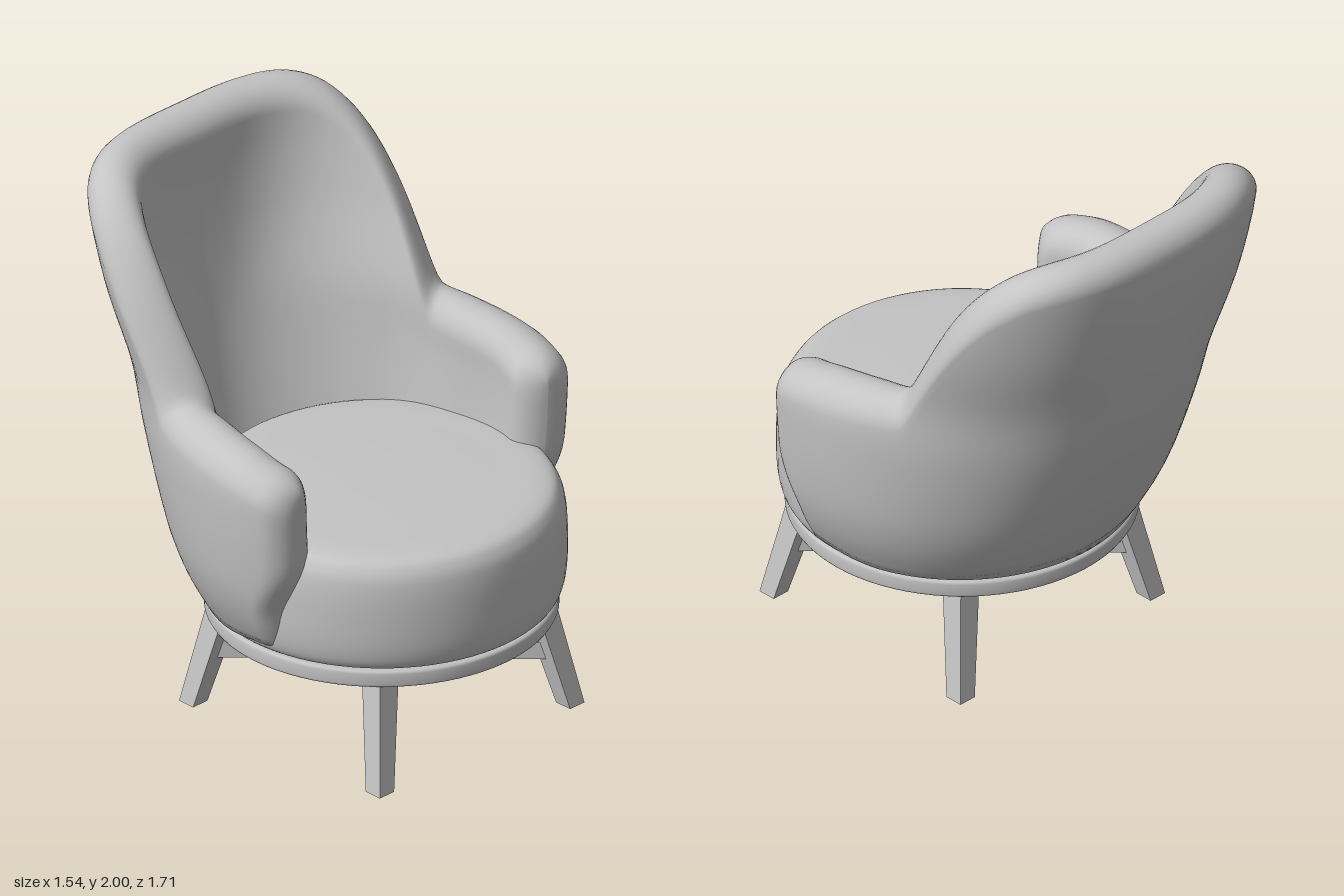
import * as THREE from 'three';

const CZ = 0.2; // z of the seat axis
const rad = THREE.MathUtils.degToRad;
const smooth = THREE.MathUtils.smoothstep;

// Smooth curve through [x, y] keys
function curve(keys) {
  const n = keys.length;
  const slope = keys.map((_, i) => {
    const a = keys[Math.max(i - 1, 0)], b = keys[Math.min(i + 1, n - 1)];
    return (b[1] - a[1]) / (b[0] - a[0]);
  });
  return (x) => {
    if (x <= keys[0][0]) return keys[0][1];
    if (x >= keys[n - 1][0]) return keys[n - 1][1];
    let i = 0;
    while (x > keys[i + 1][0]) i++;
    const [x0, y0] = keys[i], [x1, y1] = keys[i + 1];
    const d = x1 - x0, t = (x - x0) / d, t2 = t * t, t3 = t2 * t;
    return y0 * (2 * t3 - 3 * t2 + 1) + y1 * (3 * t2 - 2 * t3)
      + d * (slope[i] * (t3 - 2 * t2 + t) + slope[i + 1] * (t3 - t2));
  };
}

// Shell plan by height: half width, back depth, squareness
const halfWidth = curve([[0.45, 0.62], [0.6, 0.695], [0.76, 0.74], [1.08, 0.768], [1.3, 0.757], [1.6, 0.765], [2, 0.775]]);
const backDepth = curve([[0.45, 0.61], [0.62, 0.71], [0.81, 0.8], [1.1, 0.91], [1.4, 0.99], [1.77, 1.05], [2, 1.06]]);
const squareness = curve([[0.45, 2], [1.25, 2.05], [1.6, 2.6], [1.9, 3], [2, 3.1]]);
// Rim height by angle from the back centre to the arm front
const rimHeight = curve([[0, 2], [15, 2], [25, 1.99], [32, 1.95], [38, 1.87], [43, 1.77], [48, 1.64], [54, 1.46],
  [58, 1.345], [60, 1.3], [62, 1.285], [70, 1.275], [90, 1.245], [102, 1.21], [110, 1.19]]);

function outerRadius(y, phi) {
  const s = Math.abs(Math.sin(phi)), c = Math.cos(phi);
  const front = c < 0;
  const depth = front ? 0.65 : backDepth(y);
  const n = front ? 2 : squareness(y);
  return Math.pow(Math.pow(s / halfWidth(y), n) + Math.pow(Math.abs(c) / depth, n), -1 / n);
}

// One closed section of the shell; q goes from 1 to 0 over the rounded arm front
function shellSection(deg, q) {
  const a = Math.abs(deg), side = Math.sign(deg) || 1;
  const thick = 0.195 + 0.03 * smooth(a, 45, 75), R = thick / 2;
  const top = rimHeight(a) - 0.07 * (1 - q);
  const bottom = 0.47 + 0.03 * smooth(a, 70, 100);
  const loop = [];
  const put = (y, inset) => {
    const drop = 6 * smooth(a, 80, 108) * (1 - smooth(y, 0.62, 0.86));
    const phi = rad(a - drop);
    const r = outerRadius(y, phi) - (R + (inset - R) * q);
    loop.push([side * r * Math.sin(phi), y, CZ - r * Math.cos(phi)]);
  };
  const N = 18, M = 14;
  for (let k = 0; k < N; k++) put(bottom + (top - R - bottom) * k / N, 0);
  for (let k = 0; k <= M; k++) {
    const t = Math.PI * k / M;
    put(top - R + R * Math.sin(t), R - R * Math.cos(t));
  }
  for (let k = N - 1; k >= 0; k--) put(bottom + (top - R - bottom) * k / N, thick);
  return loop;
}

function shellGeometry() {
  const END = 110, CAP = 9, half = [];
  for (let k = 0; k <= 70; k++) half.push([(END - CAP) * k / 70, 1]);
  for (let k = 1; k <= 10; k++) {
    const t = Math.PI / 2 * k / 10;
    half.push([END - CAP + CAP * Math.sin(t), Math.max(Math.cos(t), 0)]);
  }
  const all = [...half.slice(1).reverse().map(([d, q]) => [-d, q]), ...half];
  const loops = all.map(([d, q]) => shellSection(d, q));
  const m = loops[0].length, index = [];
  for (let i = 0; i < loops.length - 1; i++) {
    for (let j = 0; j < m; j++) {
      const a = i * m + j, b = i * m + (j + 1) % m;
      index.push(a, b, a + m, b, b + m, a + m);
    }
  }
  const g = new THREE.BufferGeometry();
  g.setAttribute('position', new THREE.Float32BufferAttribute(loops.flat(2), 3));
  g.setIndex(index);
  g.computeVertexNormals();
  return g;
}

// Tapered, splayed square leg
function legGeometry(sx, sz) {
  const g = new THREE.BoxGeometry(1, 1, 1);
  const p = g.attributes.position;
  for (let i = 0; i < p.count; i++) {
    const up = p.getY(i) > 0;
    const c = up ? 0.385 : 0.465, h = up ? 0.09 : 0.07;
    p.setXYZ(i, sx * c + p.getX(i) * h, up ? 0.395 : 0, CZ + sz * c + p.getZ(i) * h);
  }
  g.computeVertexNormals();
  return g;
}

const vecs = (pts) => pts.map(([x, y]) => new THREE.Vector2(x, y));

export function createModel() {
  const group = new THREE.Group();
  const grey = new THREE.MeshStandardMaterial({ color: 0xc4c4c4, side: THREE.DoubleSide });
  grey.name = 'plain grey';
  const add = (name, geometry) => {
    const mesh = new THREE.Mesh(geometry, grey);
    mesh.name = name;
    group.add(mesh);
    return mesh;
  };

  // Wraparound back and arms
  add('backAndArms', shellGeometry());

  // Round seat cushion, open underneath
  const cushion = new THREE.SplineCurve(vecs([[0.5, 0.458], [0.58, 0.459], [0.625, 0.475], [0.645, 0.54], [0.65, 0.65],
    [0.645, 0.77], [0.625, 0.845], [0.57, 0.885], [0.4, 0.895], [0.2, 0.901], [0, 0.903]])).getPoints(50);
  cushion[cushion.length - 1].x = 0;
  add('seatCushion', new THREE.LatheGeometry(cushion, 80)).position.z = CZ;

  // Base ring under the cushion
  add('baseRing', new THREE.LatheGeometry(vecs([[0.5, 0.455], [0.5, 0.45], [0.5, 0.395], [0.5, 0.39], [0.505, 0.39],
    [0.605, 0.39], [0.615, 0.393], [0.62, 0.402], [0.62, 0.443], [0.615, 0.452], [0.605, 0.455], [0.5, 0.455]]), 80)).position.z = CZ;

  // Legs
  for (const sx of [-1, 1]) {
    for (const sz of [-1, 1]) {
      add((sz > 0 ? 'front' : 'back') + (sx > 0 ? 'Left' : 'Right') + 'Leg', legGeometry(sx, sz));
    }
  }

  // Crossed stretchers
  for (const s of [-1, 1]) {
    const bar = add('stretcher', new THREE.BoxGeometry(1.17, 0.065, 0.05));
    bar.position.set(0, 0.218, CZ);
    bar.rotation.y = s * Math.PI / 4;
  }
  return group;
}
